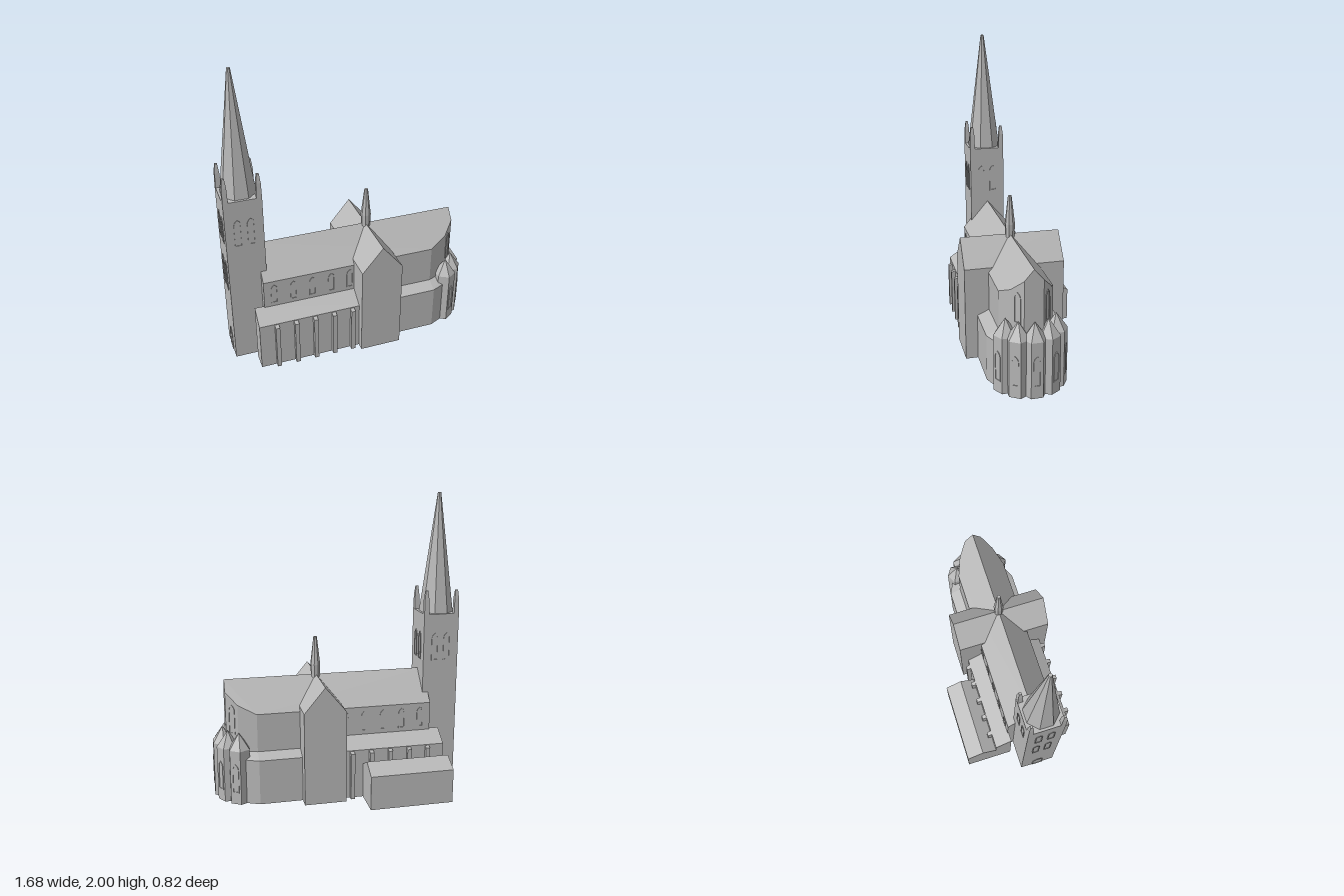
import * as THREE from 'three';
import { ConvexGeometry } from 'three/addons/geometries/ConvexGeometry.js';

const stone = new THREE.MeshStandardMaterial({ color: 0xb8b8b8 });
stone.name = 'grey stone';

export function createModel() {
  const root = new THREE.Group();
  root.name = 'church';
  // Everything is laid out around the long axis of the building
  const body = new THREE.Group();
  body.name = 'building';
  body.position.z = 0.08;
  root.add(body);

  const add = (name, geo, x = 0, y = 0, z = 0, yaw = 0) => {
    const m = new THREE.Mesh(geo, stone);
    m.name = name;
    m.position.set(x, y, z);
    m.rotation.y = yaw;
    body.add(m);
    return m;
  };
  const hull = (name, pts) =>
    add(name, new ConvexGeometry(pts.map(p => new THREE.Vector3(...p))));
  const box = (name, x0, x1, y0, y1, z0, z1) =>
    add(name, new THREE.BoxGeometry(x1 - x0, y1 - y0, z1 - z0),
      (x0 + x1) / 2, (y0 + y1) / 2, (z0 + z1) / 2);
  // Straight-sided faceted piece with a flat face towards +x
  const faceted = (rTop, rBottom, h, sides) => {
    const g = new THREE.CylinderGeometry(rTop, rBottom, h, sides);
    g.rotateY(Math.PI / 2 + Math.PI / sides);
    g.translate(0, h / 2, 0);
    const flat = g.toNonIndexed();
    flat.computeVertexNormals();
    return flat;
  };

  // Pointed arch outline, used for window surrounds
  const arch = (path, w, h, base) => {
    const a = w / 2, spring = h - w * 0.85;
    path.moveTo(-a, base);
    path.lineTo(a, base);
    path.lineTo(a, spring);
    path.quadraticCurveTo(a, h - w * 0.3, 0, h);
    path.quadraticCurveTo(-a, h - w * 0.3, -a, spring);
    path.closePath();
    return path;
  };
  // Thin surround; yaw 0 faces +z
  const windowFrame = (name, w, h, x, y, z, yaw) => {
    const s = arch(new THREE.Shape(), w, h, 0);
    s.holes.push(arch(new THREE.Path(), w - 0.014, h - 0.01, 0.007));
    add(name, new THREE.ExtrudeGeometry(s, { depth: 0.004, bevelEnabled: false, curveSegments: 4 }),
      x, y, z, yaw);
  };

  // Nave and choir: gabled roof trimmed by the tapering apse walls
  const wallLine = [[-0.635, 0.173], [0.55, 0.173], [0.67, 0.125], [0.745, 0.06]];
  const nave = [[-0.635, 0.8, 0], [0.745, 0.8, 0]];
  for (const [x, w] of wallLine)
    for (const s of [-1, 1]) nave.push([x, 0, s * w], [x, 0.8 - w * 1.17, s * w]);
  hull('naveAndApse', nave);

  // Low ambulatory around the choir
  const outerLine = [[0.2, 0.25], [0.55, 0.25], [0.65, 0.205], [0.75, 0.1]];
  const ambulatory = [];
  for (const s of [-1, 1]) {
    for (const [x, w] of outerLine) ambulatory.push([x, 0, s * w], [x, 0.305, s * w]);
    ambulatory.push([0.2, 0.34, s * 0.173], [0.55, 0.34, s * 0.173], [0.67, 0.34, s * 0.125]);
  }
  hull('ambulatory', ambulatory);

  // Transept with gabled ends
  const transept = [];
  for (const z of [-0.33, 0.33])
    transept.push([-0.015, 0, z], [0.265, 0, z], [0.265, 0.63, z], [0.125, 0.8, z], [-0.015, 0.63, z]);
  hull('transept', transept);

  // Aisles with lean-to roofs, buttresses and upper windows on both sides
  const bays = [-0.585, -0.455, -0.325, -0.195, -0.065];
  for (const s of [-1, 1]) {
    const aisle = [];
    for (const x of [-0.7, 0.05])
      aisle.push([x, 0, s * 0.165], [x, 0.41, s * 0.165], [x, 0, s * 0.278], [x, 0.335, s * 0.278]);
    hull('aisle', aisle);
    for (const x of bays) {
      const b = [];
      for (const dx of [-0.014, 0.014])
        b.push([x + dx, 0, s * 0.26], [x + dx, 0.335, s * 0.26], [x + dx, 0, s * 0.307], [x + dx, 0.32, s * 0.307]);
      hull('buttress', b);
      windowFrame('naveWindow', 0.045, 0.14, x + 0.02, 0.43, s * 0.173, s > 0 ? 0 : Math.PI);
    }
  }

  // Gabled annex on the back
  const annex = [];
  for (const x of [-0.7, -0.14])
    annex.push([x, 0, -0.49], [x, 0.23, -0.49], [x, 0.29, -0.377], [x, 0.23, -0.265], [x, 0, -0.265]);
  hull('annex', annex);

  // Tower, spire and corner pinnacles
  const tx = -0.718, half = 0.122;
  box('tower', tx - half, tx + half, 0, 1.2, -half, half);
  add('spire', faceted(0.011, 0.115, 0.8, 8), tx, 1.2, 0);
  for (const sx of [-1, 1])
    for (const sz of [-1, 1]) {
      const x = tx + sx * 0.105, z = sz * 0.105;
      add('pinnacleShaft', faceted(0.021, 0.024, 0.1, 4), x, 1.2, z);
      add('pinnacleTop', faceted(0.011, 0.021, 0.06, 4), x, 1.3, z);
    }
  for (const d of [-0.042, 0.042]) {
    for (const [y, h] of [[0.88, 0.19], [0.52, 0.22]])
      windowFrame('towerWestWindow', 0.048, h, tx - half, y, d, -Math.PI / 2);
    windowFrame('belfryWindow', 0.048, 0.19, tx + d, 0.88, half, 0);
    windowFrame('belfryWindow', 0.048, 0.19, tx + d, 0.88, -half, Math.PI);
    windowFrame('belfryWindow', 0.048, 0.19, tx + half, 0.88, d, Math.PI / 2);
  }
  windowFrame('westDoor', 0.08, 0.17, tx - half, 0, 0, -Math.PI / 2);

  // Small spire over the crossing
  add('crossingTurret', faceted(0.034, 0.029, 0.11, 8), 0.128, 0.76, 0);
  add('crossingSpire', faceted(0.012, 0.034, 0.19, 8), 0.128, 0.87, 0);

  // Ring of hexagonal chapels around the apse, each facing outwards
  const chapels = [[0.765, 0, 0], [0.738, 0.094, 0.56], [0.67, 0.158, 1.02]];
  for (const [x, w, angle] of chapels)
    for (const s of w ? [-1, 1] : [1]) {
      const z = s * w, a = s * angle, r = 0.075, apothem = 0.065;
      add('chapel', faceted(r, r, 0.37, 6), x, 0, z, -a);
      add('chapelRoof', faceted(0.001, r, 0.105, 6), x, 0.37, z, -a);
      windowFrame('chapelWindow', 0.048, 0.2, x + apothem * Math.cos(a), 0.08,
        z + apothem * Math.sin(a), Math.PI / 2 - a);
    }

  // Tall windows on the slanted apse walls
  for (const s of [-1, 1])
    windowFrame('apseWindow', 0.05, 0.2, 0.7075, 0.45, s * 0.0925,
      Math.PI / 2 - s * Math.atan2(0.075, 0.065));

  return root;
}
